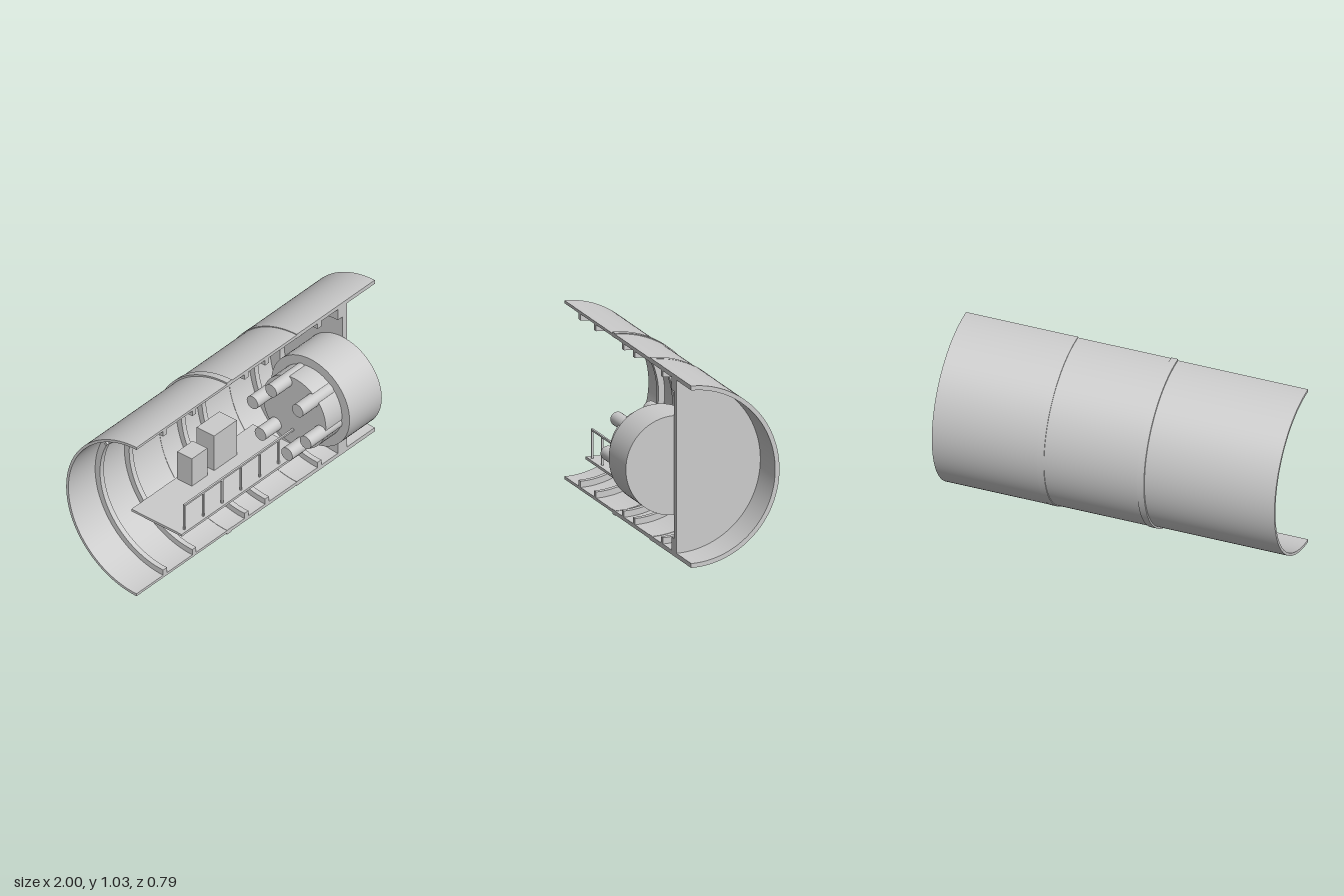
import * as THREE from 'three';
import { toCreasedNormals } from 'three/addons/utils/BufferGeometryUtils.js';

const CY = 0.516, CZ = 0.118; // hull axis, running along x

export function createModel() {
  const group = new THREE.Group();
  const grey = new THREE.MeshStandardMaterial({ color: 0xcccccc });
  grey.name = 'lightGrey';

  const add = (name, geo, x, y, z) => {
    const mesh = new THREE.Mesh(geo, grey);
    mesh.name = name;
    mesh.position.set(x, y, z);
    group.add(mesh);
    return mesh;
  };
  const box = (name, x0, x1, y0, y1, z0, z1) =>
    add(name, new THREE.BoxGeometry(x1 - x0, y1 - y0, z1 - z0),
      (x0 + x1) / 2, (y0 + y1) / 2, (z0 + z1) / 2);
  const rod = (name, x0, x1, r, y, z, sides = 48) =>
    add(name, new THREE.CylinderGeometry(r, r, x1 - x0, sides).rotateZ(Math.PI / 2),
      (x0 + x1) / 2, y, z);

  // Half ring (or half disc when inner is 0) extruded along x
  const halfRing = (name, x0, x1, outer, inner) => {
    const s = new THREE.Shape();
    s.moveTo(0, -outer);
    s.absarc(0, 0, outer, -Math.PI / 2, Math.PI / 2, false);
    if (inner > 0) {
      s.lineTo(0, inner);
      s.absarc(0, 0, inner, Math.PI / 2, -Math.PI / 2, true);
    }
    s.closePath();
    let g = new THREE.ExtrudeGeometry(s, { depth: x1 - x0, bevelEnabled: false, curveSegments: 64 });
    g = toCreasedNormals(g.rotateY(Math.PI / 2), 0.5);
    return add(name, g, x0, CY, CZ);
  };

  // Cutaway hull in three sections, with joint bands
  halfRing('hullLeft', -1, -0.22, 0.503, 0.487);
  halfRing('hullMiddle', -0.22, 0.36, 0.508, 0.487);
  halfRing('hullRight', 0.36, 1, 0.512, 0.487);
  halfRing('jointBandLeft', -0.24, -0.2, 0.513, 0.485);
  halfRing('jointBandRight', 0.345, 0.385, 0.513, 0.485);

  // Inner frames, heavy mount ring and bulkhead
  for (const x of [-0.76, -0.515, -0.078, 0.095, 0.535]) {
    halfRing('frameRib', x - 0.016, x + 0.016, 0.489, 0.452);
  }
  halfRing('mountRing', 0.69, 0.735, 0.489, 0.415);
  halfRing('bulkhead', 0.73, 0.765, 0.49, 0);

  // Machine drum, core and ring of barrels
  rod('drum', 0.46, 0.73, 0.28, CY, CZ, 64);
  rod('drumCore', 0.325, 0.46, 0.225, CY, CZ, 48);
  for (let i = 0; i < 6; i++) {
    const a = THREE.MathUtils.degToRad(47 + i * 60);
    rod('barrel', 0.195, 0.455, 0.04, CY + 0.195 * Math.sin(a), CZ + 0.195 * Math.cos(a), 32);
  }

  // Walkway with railing
  box('walkway', -0.635, 0.385, 0.216, 0.231, -0.23, 0.13);
  for (let i = 0; i < 7; i++) {
    const x = -0.588 + i * 0.158;
    box('railPost', x - 0.005, x + 0.005, 0.23, 0.395, 0.104, 0.114);
  }
  box('handRail', -0.593, 0.365, 0.387, 0.398, 0.103, 0.115);

  // Equipment cabinets
  box('smallCabinet', -0.262, -0.132, 0.23, 0.415, -0.22, -0.115);
  box('largeCabinet', -0.075, 0.115, 0.23, 0.465, -0.24, -0.115);

  // Pipe run along the upper wall
  for (const y of [0.89, 0.865, 0.84]) {
    const dy = y - CY;
    rod('wallPipe', -0.9, 0.65, 0.009, y, CZ - Math.sqrt(0.445 ** 2 - dy * dy), 12);
  }
  return group;
}
